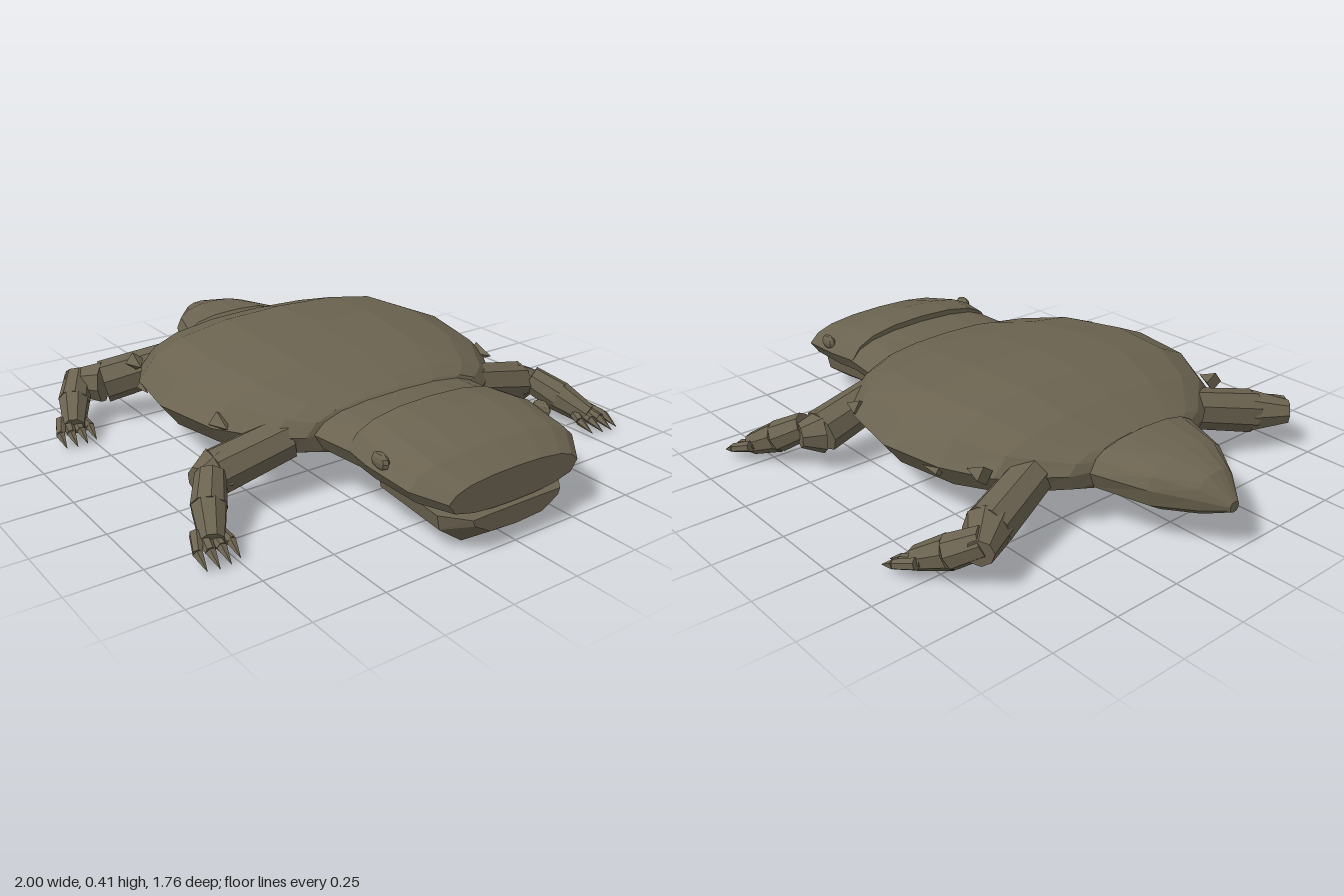
import * as THREE from 'three';

const skin = new THREE.MeshStandardMaterial({ color: 0x6b6350, flatShading: true });
skin.name = 'olive brown skin';

const add = (parent, name, geometry) => {
  const mesh = new THREE.Mesh(geometry, skin);
  mesh.name = name;
  parent.add(mesh);
  return mesh;
};

// Half outline of a flattened cross-section, from top to bottom: [width, height]
const ROUND = [[0, 1], [0.39, 0.95], [0.7, 0.78], [0.89, 0.5], [1, 0.06], [0.9, -0.55], [0.62, -0.86], [0.3, -0.98], [0, -1]];
const JAW = [[0, 1], [0.6, 1], [1, 0.95], [0.96, 0.1], [0.6, -0.85], [0, -1]];

// Joins cross-sections [x, half width, top, middle, bottom] along x, with closed ends
function loft(sections, half) {
  const outline = [...half, ...half.slice(1, -1).reverse().map(([w, h]) => [-w, h])];
  const n = outline.length, pos = [], index = [];
  sections.forEach(([x, w, top, mid, bot]) => outline.forEach(([u, v]) =>
    pos.push(x, mid + v * (v > 0 ? top - mid : mid - bot), u * w)));
  const last = (sections.length - 1) * n;
  for (let i = 0; i < last; i += n) {
    for (let j = 0; j < n; j++) {
      const k = (j + 1) % n;
      index.push(i + j, i + k, i + n + j, i + k, i + n + k, i + n + j);
    }
  }
  for (let j = 1; j < n - 1; j++) index.push(0, j + 1, j, last, last + j, last + j + 1);
  const g = new THREE.BufferGeometry();
  g.setAttribute('position', new THREE.Float32BufferAttribute(pos, 3));
  g.setIndex(index);
  g.computeVertexNormals();
  return g;
}

// Tapered limb piece from point a to point b
function limb(parent, name, a, b, ra, rb, sides = 8) {
  const from = new THREE.Vector3(...a), to = new THREE.Vector3(...b);
  const dir = to.clone().sub(from);
  const mesh = add(parent, name, new THREE.CylinderGeometry(rb, ra, dir.length(), sides));
  mesh.position.copy(from).add(to).multiplyScalar(0.5);
  mesh.quaternion.setFromUnitVectors(new THREE.Vector3(0, 1, 0), dir.normalize());
  return mesh;
}

function leg(name, side, dx, hip, knee) {
  const g = new THREE.Group();
  g.name = name;
  const p = (x, y, z) => [x + dx, y, z * side];
  const at = ([x, y, z]) => [x, y, z * side];
  // Thigh and knee
  limb(g, 'upperLeg', at(hip), at(knee), 0.074, 0.08);
  limb(g, 'knee', at(knee), p(0.34, 0.145, 0.725), 0.08, 0.045);
  // Shin and foot
  limb(g, 'lowerLeg', p(0.36, 0.165, 0.69), p(0.45, 0.11, 0.75), 0.05, 0.058);
  limb(g, 'foot', p(0.45, 0.11, 0.75), p(0.555, 0.057, 0.8), 0.058, 0.04);
  // Toes ending in claws
  [[0.63, 0.75], [0.645, 0.79], [0.65, 0.83], [0.64, 0.867]].forEach(([x, z], i) => {
    const root = p(0.51, 0.072, 0.765 + i * 0.022), mid = p(x - 0.06, 0.05, z - 0.004);
    limb(g, 'toe', root, mid, 0.021, 0.017, 6);
    limb(g, 'claw', mid, p(x, 0.022, z), 0.017, 0.001, 5);
  });
  return g;
}

export function createModel() {
  const model = new THREE.Group();
  model.name = 'flatCreature';

  add(model, 'body', loft([
    [-0.625, 0.24, 0.28, 0.22, 0.14], [-0.6, 0.32, 0.295, 0.22, 0.13], [-0.46, 0.51, 0.355, 0.22, 0.11],
    [-0.3, 0.6, 0.405, 0.225, 0.097], [-0.06, 0.64, 0.41, 0.225, 0.09], [0.2, 0.59, 0.38, 0.225, 0.102],
    [0.37, 0.47, 0.338, 0.225, 0.12], [0.43, 0.38, 0.32, 0.225, 0.13], [0.46, 0.2, 0.3, 0.225, 0.15],
  ], ROUND));

  add(model, 'tail', loft([
    [-1, 0.02, 0.19, 0.175, 0.155], [-0.92, 0.09, 0.262, 0.19, 0.125], [-0.8, 0.18, 0.295, 0.205, 0.105],
    [-0.62, 0.25, 0.305, 0.215, 0.12], [-0.6, 0.24, 0.29, 0.215, 0.13],
  ], ROUND));

  add(model, 'neck', loft([
    [0.3, 0.36, 0.32, 0.23, 0.13], [0.44, 0.35, 0.312, 0.23, 0.135], [0.62, 0.335, 0.322, 0.235, 0.14],
  ], ROUND));

  // Head with a separate, slightly open lower jaw
  add(model, 'head', loft([
    [0.59, 0.335, 0.342, 0.235, 0.145], [0.71, 0.355, 0.345, 0.235, 0.15],
    [0.89, 0.34, 0.3, 0.22, 0.145], [0.985, 0.265, 0.25, 0.195, 0.135],
  ], ROUND));
  add(model, 'lowerJaw', loft([
    [0.64, 0.25, 0.158, 0.1, 0.052], [0.92, 0.25, 0.135, 0.075, 0.005], [1, 0.18, 0.13, 0.105, 0.065],
  ], JAW));

  for (const side of [1, -1]) {
    const label = side > 0 ? 'Near' : 'Far';
    const eye = add(model, 'eye' + label, new THREE.SphereGeometry(0.04, 8, 6));
    eye.scale.set(1, 0.7, 0.45);
    eye.position.set(0.755, 0.27, 0.335 * side);

    model.add(leg('frontLeg' + label, side, 0, [0.34, 0.205, 0.4], [0.32, 0.145, 0.65]));
    model.add(leg('hindLeg' + label, side, -1, [-0.49, 0.205, 0.38], [-0.57, 0.15, 0.62]));

    // Small spikes along the flank
    [[0.19, 0.25, 0.56, 0.035], [-0.46, 0.25, 0.54, 0.035], [-0.3, 0.217, 0.595, 0.016]].forEach(([x, y, z, r]) =>
      limb(model, 'flankSpike' + label, [x, y, z * side], [x + 0.075, y, (z + 0.01) * side], r, 0.001, 4));
  }
  return model;
}
